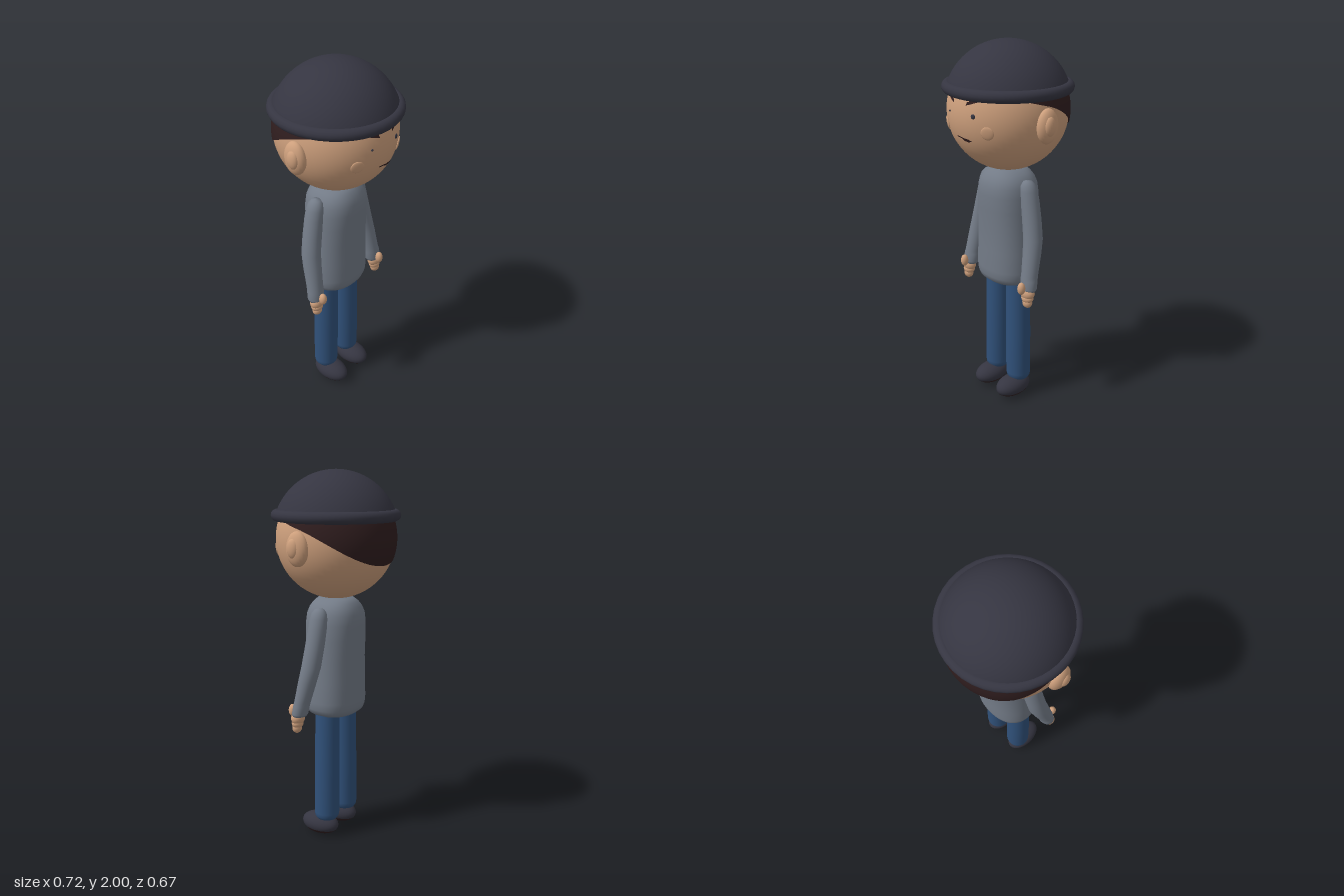
import * as THREE from 'three';
import { ParametricGeometry } from 'three/addons/geometries/ParametricGeometry.js';

const HEAD_Y = 1.65, HEAD_R = 0.313;

const mat = (name, color) => {
  const m = new THREE.MeshStandardMaterial({ color });
  m.name = name;
  return m;
};

// Closed body through rings listed bottom to top: [y, rx, rz, cx, cz]; n > 2 squares the section
function loft(rings, n = 2, seg = 32) {
  const pos = [], idx = [];
  const round = (v) => Math.sign(v) * Math.abs(v) ** (2 / n);
  for (const [y, rx, rz, cx = 0, cz = 0] of rings) {
    for (let i = 0; i < seg; i++) {
      const a = (i / seg) * Math.PI * 2;
      pos.push(cx + rx * round(Math.cos(a)), y, cz + rz * round(Math.sin(a)));
    }
  }
  for (let r = 0; r < rings.length - 1; r++) {
    for (let i = 0; i < seg; i++) {
      const a = r * seg + i, b = r * seg + ((i + 1) % seg);
      idx.push(a, a + seg, b, b, a + seg, b + seg);
    }
  }
  const g = new THREE.BufferGeometry();
  g.setAttribute('position', new THREE.Float32BufferAttribute(pos, 3));
  g.setIndex(idx);
  g.computeVertexNormals();
  return g;
}

// Point on the head surface seen from the front
function onHead(x, y, lift = 0) {
  const r = HEAD_R + lift;
  return new THREE.Vector3(x, y, Math.sqrt(r * r - x * x - (y - HEAD_Y) ** 2));
}

// Thin painted shape wrapped on the face
function facePatch(points) {
  const g = new THREE.ShapeGeometry(new THREE.Shape(points.map(([x, y]) => new THREE.Vector2(x, y))));
  const p = g.attributes.position;
  for (let i = 0; i < p.count; i++) p.setZ(i, onHead(p.getX(i), p.getY(i), 0.005).z);
  g.computeVertexNormals();
  return g;
}

// Hair shell whose lower edge drops toward the back of the head
function hairPoint(u, v, target) {
  const a = u * Math.PI * 2, outer = HEAD_R + 0.006;
  const sx = Math.sin(a), sz = Math.cos(a);
  let edge = 1.7;
  for (let k = 0; k < 12; k++) {
    const z = sz * Math.sqrt(outer ** 2 - (edge - HEAD_Y) ** 2);
    const next = z > 0 ? 1.71 + 0.27 * z : 1.71 + 0.33 * z - z * z;
    edge = (edge + next) / 2;
  }
  const t = Math.min(1, v / 0.93);
  const r = v > 0.99 ? HEAD_R - 0.004 : outer;
  const y = 1.82 + (edge - 1.82) * t;
  const w = Math.sqrt(r * r - (y - HEAD_Y) ** 2);
  target.set(sx * w, y, sz * w);
}

export function createModel() {
  const skin = mat('skin', 0xcd9f7c);
  const hair = mat('dark brown', 0x2f1d1e);
  hair.side = THREE.DoubleSide;
  const hat = mat('charcoal', 0x353541);
  const shirt = mat('grey shirt', 0x737b87);
  const denim = mat('blue denim', 0x30517a);

  const model = new THREE.Group();
  model.name = 'figure';
  const add = (name, geometry, material) => {
    const m = new THREE.Mesh(geometry, material);
    m.name = name;
    model.add(m);
    return m;
  };
  const ball = (name, material, p, s, seg = 20) => {
    const m = add(name, new THREE.SphereGeometry(1, seg, Math.round(seg * 0.7)), material);
    m.position.set(...p);
    m.scale.set(...s);
    return m;
  };
  // Flattened ball lying on the face
  const faceBall = (name, material, x, y, r, depth) => {
    const p = onHead(x, y);
    const m = ball(name, material, p.toArray(), [r, r, depth]);
    m.lookAt(p.multiplyScalar(2).sub(new THREE.Vector3(0, HEAD_Y, 0)));
    return m;
  };

  // Head and hair
  ball('head', skin, [0, HEAD_Y, 0], [HEAD_R, HEAD_R, HEAD_R], 48);
  add('hair', new ParametricGeometry(hairPoint, 64, 16), hair);

  // Knitted cap with rolled brim
  const dome = add('capDome', new THREE.SphereGeometry(0.33, 48, 20, 0, Math.PI * 2, 0, 1.27), hat);
  dome.position.y = 1.67;
  const brim = add('capBrim', new THREE.TorusGeometry(0.307, 0.03, 14, 40), hat);
  brim.rotation.x = Math.PI / 2;
  brim.position.y = 1.77;

  // Mouth
  add('mouth', facePatch([[-0.036, 1.557], [-0.03, 1.55], [0.005, 1.545], [0.018, 1.535],
    [0.045, 1.532], [0.068, 1.54], [0.045, 1.548], [0.02, 1.55], [0, 1.553]]), hair);

  // Torso, closed at hem and neck
  add('sweater', loft([
    [0.70, 0.005, 0.005], [0.702, 0.10, 0.08], [0.71, 0.14, 0.115], [0.725, 0.163, 0.133],
    [0.75, 0.174, 0.142], [0.79, 0.178, 0.145], [0.90, 0.174, 0.142], [1.02, 0.168, 0.142],
    [1.13, 0.165, 0.148], [1.21, 0.161, 0.15], [1.26, 0.153, 0.145], [1.295, 0.138, 0.132],
    [1.32, 0.115, 0.115], [1.34, 0.085, 0.095], [1.348, 0.05, 0.05], [1.35, 0.005, 0.005],
  ], 2.3, 48), shirt);

  for (const s of [1, -1]) {
    const side = s > 0 ? 'left' : 'right';

    // Ear with inner lump
    ball(side + 'Ear', skin, [s * 0.312, 1.618, 0.02], [0.04, 0.088, 0.063], 24);
    ball(side + 'InnerEar', skin, [s * 0.338, 1.622, 0.028], [0.023, 0.05, 0.034]);

    // Face details
    faceBall(side + 'Eye', hat, s * 0.09, 1.668, s > 0 ? 0.012 : 0.006, 0.006);
    faceBall(side + 'Cheek', skin, s * 0.155, 1.592, 0.034, 0.007);
    const brow = [[0.045, 1.716], [0.07, 1.724], [0.11, 1.738], [0.105, 1.752], [0.05, 1.732]];
    const browPoints = brow.map(([x, y]) => [s * x, y]);
    add(side + 'Brow', facePatch(browPoints), hair);

    // Sleeve from cuff to shoulder
    add(side + 'Sleeve', loft([
      [0.735, 0.03, 0.025, s * 0.243, 0.07], [0.732, 0.044, 0.036, s * 0.243, 0.07],
      [0.745, 0.049, 0.041, s * 0.242, 0.067], [0.79, 0.049, 0.042, s * 0.238, 0.06],
      [0.81, 0.046, 0.043, s * 0.236, 0.055], [0.92, 0.049, 0.049, s * 0.225, 0.03],
      [1.0, 0.051, 0.052, s * 0.214, 0.013], [1.10, 0.051, 0.051, s * 0.194, 0.005],
      [1.20, 0.05, 0.05, s * 0.172, 0], [1.25, 0.047, 0.048, s * 0.162, 0],
      [1.28, 0.038, 0.04, s * 0.157, 0], [1.298, 0.022, 0.024, s * 0.155, 0],
      [1.303, 0.002, 0.002, s * 0.155, 0],
    ], 2, 24), shirt);

    // Hand: palm, fingers, thumb
    ball(side + 'Palm', skin, [s * 0.247, 0.718, 0.078], [0.043, 0.038, 0.034]);
    ball(side + 'Knuckles', skin, [s * 0.248, 0.69, 0.08], [0.036, 0.028, 0.03]);
    ball(side + 'Fingers', skin, [s * 0.25, 0.665, 0.082], [0.029, 0.03, 0.025]);
    ball(side + 'Thumb', skin, [s * 0.241, 0.753, 0.117], [0.021, 0.034, 0.022]);

    // Trouser leg
    add(side + 'Leg', loft([
      [0.098, 0.005, 0.005, s * 0.091], [0.099, 0.042, 0.042, s * 0.091],
      [0.105, 0.057, 0.057, s * 0.091], [0.12, 0.066, 0.066, s * 0.091],
      [0.14, 0.069, 0.069, s * 0.09], [0.40, 0.069, 0.068, s * 0.088],
      [0.68, 0.067, 0.066, s * 0.083], [0.78, 0.066, 0.065, s * 0.082],
    ], 2, 28), denim);

    // Shoe upper and sole are two parts of one ellipsoid
    const cut = Math.PI * 0.64;
    for (const [name, from, len, m] of [['Shoe', 0, cut, hat], ['Sole', cut, Math.PI - cut, hair]]) {
      const part = add(side + name, new THREE.SphereGeometry(1, 32, 14, 0, Math.PI * 2, from, len), m);
      part.position.set(s * 0.093, 0.06, 0.043);
      part.scale.set(0.07, 0.06, 0.112);
    }
  }
  return model;
}
